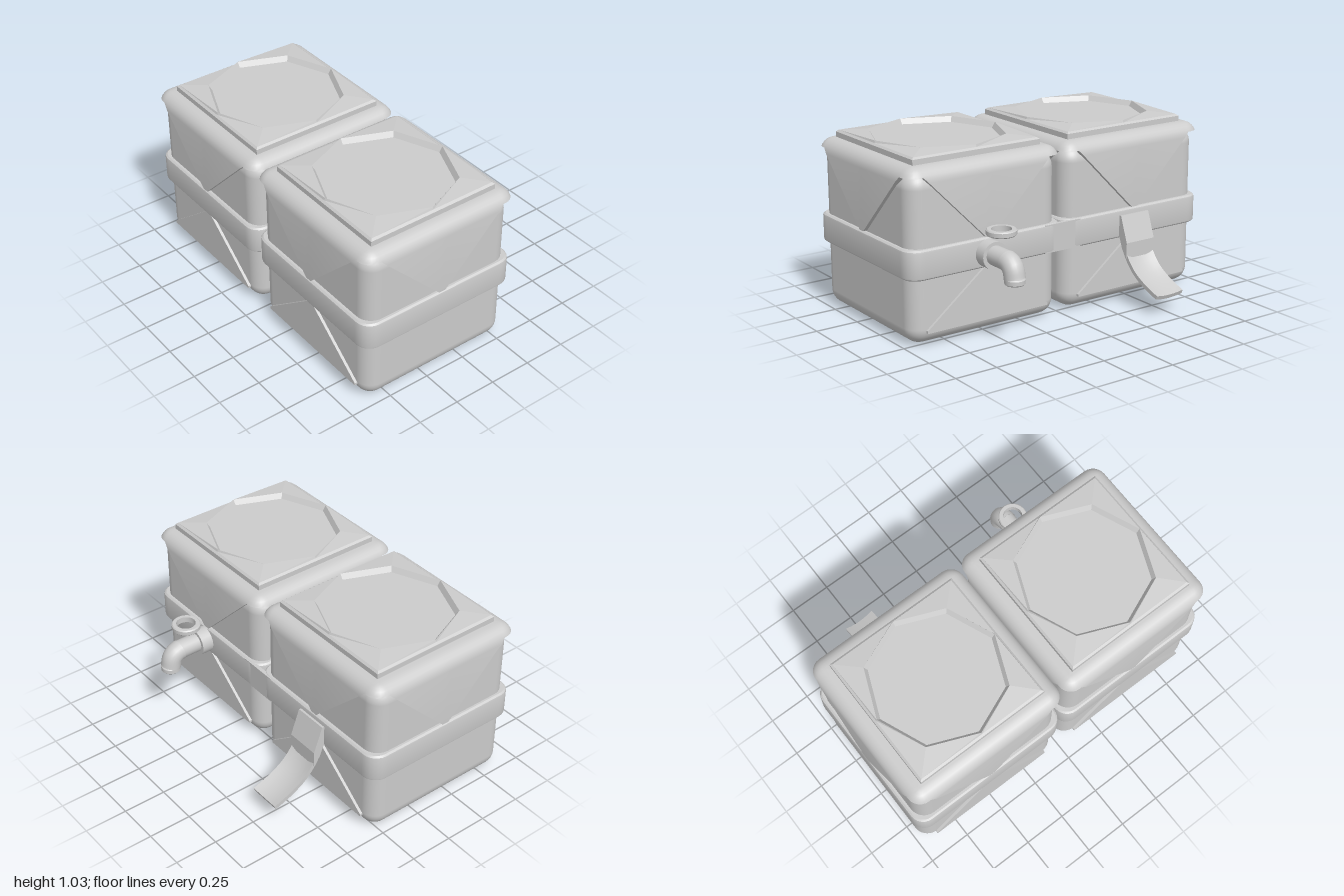
import * as THREE from 'three';
import { toCreasedNormals } from 'three/addons/utils/BufferGeometryUtils.js';
import { RoundedBoxGeometry } from 'three/addons/geometries/RoundedBoxGeometry.js';

const material = new THREE.MeshStandardMaterial({ color: 0xcccccc, side: THREE.DoubleSide });
const HALF = 0.4975, RADIUS = 0.085;

function add(parent, name, geometry, x = 0, y = 0, z = 0) {
  const mesh = new THREE.Mesh(geometry, material);
  mesh.name = name;
  mesh.position.set(x, y, z);
  parent.add(mesh);
  return mesh;
}

// Joins closed rings of equal length, bottom to top, with an optional cap
function loft(rings, cap, crease = 0.6) {
  const n = rings[0].length, index = [];
  const points = rings.flat();
  for (let i = 0; i < rings.length - 1; i++) {
    for (let j = 0; j < n; j++) {
      const a = i * n + j, b = i * n + (j + 1) % n;
      index.push(a, b, b + n, a, b + n, a + n);
    }
  }
  if (cap) {
    const last = (rings.length - 1) * n;
    points.push(new THREE.Vector3(0, rings.at(-1)[0].y, 0));
    for (let j = 0; j < n; j++) index.push(last + j, last + (j + 1) % n, points.length - 1);
  }
  const g = new THREE.BufferGeometry().setFromPoints(points);
  g.setIndex(index);
  return toCreasedNormals(g.toNonIndexed(), crease);
}

// Rounded square ring; height and inset may vary with d, the distance from the side's middle
function roundedRing(height, inset) {
  const ring = [], s = HALF - RADIUS;
  for (let k = 0; k < 4; k++) {
    const put = (x, d, t) => {
      const y = height(t);
      ring.push(new THREE.Vector3(x - 0, y, -d).applyAxisAngle(new THREE.Vector3(0, 1, 0), k * Math.PI / 2));
    };
    for (const d of [-s, -0.4, -0.37, -0.02, 0.02, 0.37, 0.4]) put(HALF - inset(height(d)), d, d);
    for (let i = 0; i <= 5; i++) {
      const a = i / 6 * Math.PI / 2, r = RADIUS - inset(height(s));
      put(s + r * Math.cos(a), s + r * Math.sin(a), s);
    }
  }
  return ring;
}

// Cover whose hem dips to a point in the middle of each side
function coverGeometry() {
  const hem = d => 0.55 + 0.38 * THREE.MathUtils.clamp((Math.abs(d) - 0.02) / 0.38, 0, 1);
  const round = y => y <= 0.9 ? 0 : 0.08 * (1 - Math.sqrt(Math.max(0, 1 - ((y - 0.9) / 0.08) ** 2)));
  const rings = [roundedRing(hem, y => round(y) + 0.035), roundedRing(hem, round)];
  for (let i = 0; i <= 6; i++) {
    const row = 0.9 + 0.08 * Math.sin(i / 6 * Math.PI / 2);
    rings.push(roundedRing(d => Math.max(hem(d), row), round));
  }
  return loft(rings, true);
}

function bandGeometry() {
  const rows = [[0.38, 0.04], [0.38, 0.012], [0.388, 0.002], [0.396, 0], [0.53, 0],
    [0.538, 0.002], [0.546, 0.012], [0.546, 0.04], [0.38, 0.04]];
  return loft(rows.map(([y, i]) => roundedRing(() => y, () => i)), false);
}

// Square lid panel sloping up to an octagonal recess
function panelGeometry() {
  const ring = (r, y, square) => Array.from({ length: 8 }, (_, i) => {
    const a = i * Math.PI / 4, k = square && i % 2 ? r * Math.SQRT2 : r;
    return new THREE.Vector3(k * Math.cos(a), y, -k * Math.sin(a));
  });
  return loft([ring(0.405, 0.96, true), ring(0.405, 1.01, true), ring(0.393, 1.02, true),
    ring(0.388, 1.033), ring(0.368, 1.003)], true, 0.1);
}

// Ring with a rectangular, slightly bevelled section
function hoop(inner, outer, h) {
  const b = 0.006;
  const pts = [[inner, 0], [outer - b, 0], [outer, b], [outer, h - b], [outer - b, h], [inner, h], [inner, 0]];
  return toCreasedNormals(new THREE.LatheGeometry(pts.map(p => new THREE.Vector2(...p)), 24).toNonIndexed(), 0.6);
}

function extrude(points, depth, steps = 1) {
  const shape = new THREE.Shape(points.map(p => new THREE.Vector2(...p)));
  const g = new THREE.ExtrudeGeometry(shape, { depth, steps, bevelEnabled: false });
  return g.translate(0, 0, -depth / 2);
}

function createCanister(z) {
  const can = new THREE.Group();
  can.name = 'canister';
  can.position.set(-0.167, 0, z);
  add(can, 'body', new RoundedBoxGeometry(0.944, 0.94, 0.948, 5, 0.09), 0, 0.478, 0);
  add(can, 'basePlate', new THREE.BoxGeometry(0.76, 0.02, 0.76), 0, 0.01, 0);
  add(can, 'cover', coverGeometry());
  add(can, 'band', bandGeometry());
  add(can, 'lidPanel', panelGeometry(), 0, 0, 0.008);
  // Triangular lower flaps on both long sides
  for (const side of [-1, 1]) {
    const flap = extrude([[-0.39, 0.08], [0.39, 0.08], [0.39, 0.094], [0.02, 0.385], [-0.02, 0.385], [-0.39, 0.094]], 0.04);
    add(can, 'lowerFlap', flap, side * 0.468).rotation.y = Math.PI / 2;
  }
  return can;
}

function createTap() {
  const tap = new THREE.Group();
  tap.name = 'tap';
  tap.position.z = 0.515;
  add(tap, 'collar', new THREE.CylinderGeometry(0.077, 0.077, 0.09, 24), 0.355, 0.462).rotation.z = Math.PI / 2;
  add(tap, 'pipe', new THREE.CylinderGeometry(0.055, 0.055, 0.14, 24), 0.45, 0.465).rotation.z = Math.PI / 2;
  const path = new THREE.CatmullRomCurve3([[0.51, 0.465], [0.535, 0.46], [0.565, 0.434], [0.58, 0.38]]
    .map(([x, y]) => new THREE.Vector3(x, y, 0)));
  add(tap, 'elbow', new THREE.TubeGeometry(path, 8, 0.058, 24));
  add(tap, 'nozzle', hoop(0.038, 0.056, 0.035), 0.58, 0.353);
  // Loose ring above the pipe
  add(tap, 'ring', hoop(0.056, 0.083, 0.034), 0.46, 0.594);
  return tap;
}

function createStrapEnd() {
  const end = new THREE.Group();
  end.name = 'strapEnd';
  end.position.z = -0.488;
  add(end, 'strapHolder', extrude([[0.31, 0.51], [0.31, 0.39], [0.335, 0.385], [0.36, 0.32], [0.4, 0.275],
    [0.4, 0.365], [0.345, 0.515]], 0.2));
  // Curved tongue, slightly hollow across its width
  const curve = new THREE.CatmullRomCurve3([[0.335, 0.4], [0.38, 0.3], [0.45, 0.215], [0.54, 0.158], [0.66, 0.112]]
    .map(([x, y]) => new THREE.Vector3(x, y, 0)));
  const top = [], bottom = [];
  for (let i = 0; i <= 10; i++) {
    const p = curve.getPoint(i / 10), t = curve.getTangent(i / 10);
    top.push([p.x - t.y * 0.012, p.y + t.x * 0.012]);
    bottom.unshift([p.x + t.y * 0.012, p.y - t.x * 0.012]);
  }
  const tongue = extrude([...bottom.reverse(), ...top.reverse()], 0.19, 6);
  const pos = tongue.attributes.position;
  for (let i = 0; i < pos.count; i++) {
    const dip = 0.012 * (1 - (pos.getZ(i) / 0.095) ** 2);
    pos.setXY(i, pos.getX(i) - dip * 0.6, pos.getY(i) - dip);
  }
  add(end, 'tongue', toCreasedNormals(tongue, 0.5));
  return end;
}

export function createModel() {
  const model = new THREE.Group();
  model.name = 'twinCanisters';
  model.add(createCanister(0.502), createCanister(-0.498), createTap(), createStrapEnd());
  // Strap joining the two bands
  add(model, 'bandBridge', new THREE.BoxGeometry(0.022, 0.16, 0.24), 0.318, 0.463, 0.01);
  return model;
}
